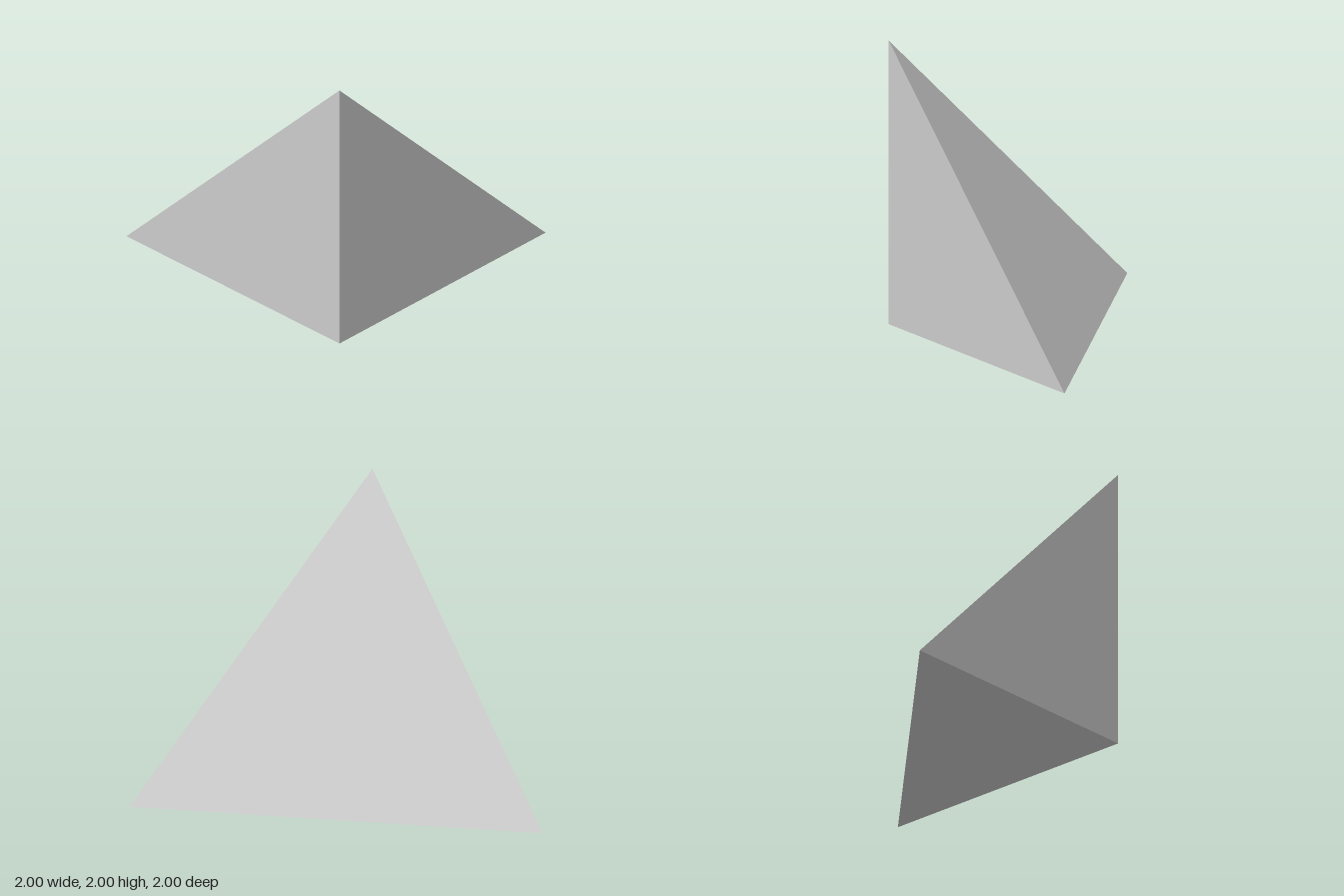
import * as THREE from 'three';
import { ConvexGeometry } from 'three/addons/geometries/ConvexGeometry.js';

// Corner tetrahedron dissected into five convex blocks that fit together exactly.
// Every upper point lies on the sloping plane x + y = z + 0 (so y = z - x).
export function createModel() {
  const group = new THREE.Group();
  group.name = 'dissectedTetrahedron';
  const material = new THREE.MeshStandardMaterial({ color: 0xcccccc, flatShading: true });

  const floor = (x, z) => new THREE.Vector3(x, 0, z);
  const slope = (x, z) => new THREE.Vector3(x, z - x, z);

  // Corners shared by several blocks
  const notch = [floor(-0.75, 0.75), slope(-0.75, 0.75)];
  const frontSeam = [floor(-0.5, 1), slope(-0.5, 1)];
  const sideSeam = [floor(-1, 0.75), slope(-1, 0.75)];
  const backSeam = floor(-0.75, -0.75);
  const middle = floor(0, 0);
  const inner = slope(0, 0.5);
  const frontEdge = slope(0.25, 1);

  const blocks = {
    // tall column under the apex
    cornerColumn: [...sideSeam, ...notch, ...frontSeam, floor(-1, 1), slope(-1, 1)],
    // thin wedge along the side wall
    sideWedge: [...sideSeam, ...notch, backSeam, floor(-1, -1)],
    // large central block
    centreBlock: [...notch, ...frontSeam, backSeam, middle, inner],
    // small tetrahedron in the front wall
    frontTetrahedron: [...frontSeam, frontEdge, inner],
    // low block reaching the far front corner
    frontCornerBlock: [frontSeam[0], floor(1, 1), middle, frontEdge, inner],
  };

  for (const [name, points] of Object.entries(blocks)) {
    const mesh = new THREE.Mesh(new ConvexGeometry(points), material);
    mesh.name = name;
    group.add(mesh);
  }
  return group;
}
